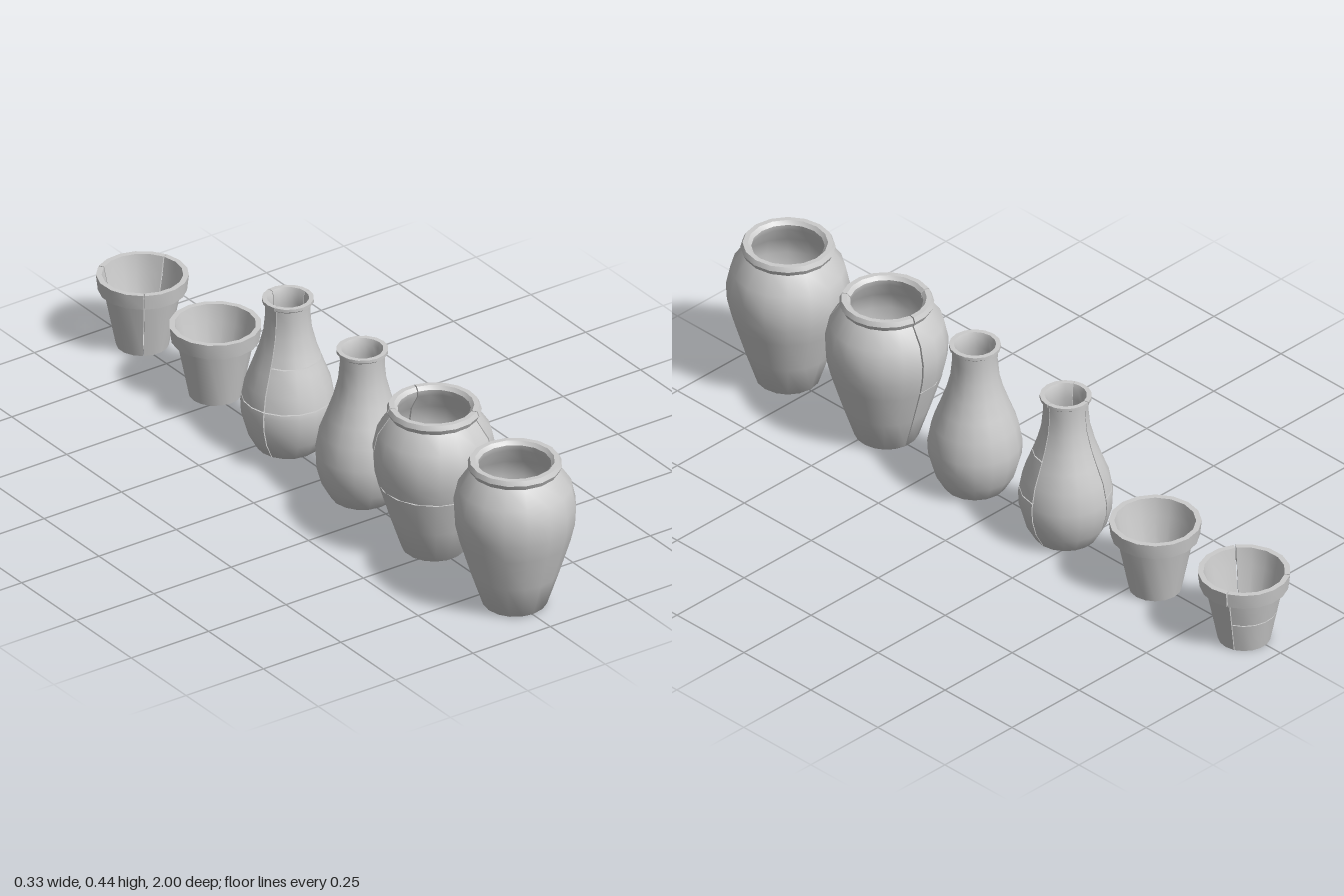
import * as THREE from 'three';
import { mergeGeometries, toCreasedNormals } from 'three/addons/utils/BufferGeometryUtils.js';

const SIDES = 16;
const GAP = 0.03; // crack width, radians
const SEAM = 0.0015; // half height of a horizontal crack
const rad = THREE.MathUtils.degToRad;
const smooth = new THREE.MeshStandardMaterial({ color: 0xcccccc });
const broken = new THREE.MeshStandardMaterial({ color: 0xcccccc, side: THREE.DoubleSide });

// Half sections [radius, height]: axis, outer wall, rim, inner wall, axis
const urn = [
  [0, 0], [0.08, 0], [0.086, 0.005], [0.118, 0.1], [0.149, 0.2], [0.161, 0.25], [0.164, 0.3], [0.152, 0.355],
  [0.119, 0.403], [0.126, 0.417], [0.12, 0.43], [0.106, 0.43], [0.097, 0.42], [0.1, 0.403],
  [0.136, 0.35], [0.148, 0.3], [0.145, 0.25], [0.133, 0.2], [0.102, 0.1], [0.074, 0.018], [0, 0.015],
];
const vase = [
  [0, 0], [0.078, 0], [0.084, 0.004], [0.11, 0.05], [0.124, 0.1], [0.126, 0.14], [0.115, 0.2], [0.096, 0.25],
  [0.078, 0.3], [0.065, 0.35], [0.06, 0.4], [0.061, 0.43], [0.069, 0.436], [0.069, 0.445],
  [0.056, 0.445], [0.05, 0.43], [0.049, 0.4], [0.054, 0.35], [0.067, 0.3], [0.084, 0.25],
  [0.103, 0.2], [0.114, 0.14], [0.112, 0.1], [0.098, 0.05], [0.072, 0.015], [0, 0.012],
];
const pot = [
  [0, 0], [0.07, 0], [0.103, 0.166], [0.118, 0.166], [0.123, 0.21],
  [0.108, 0.21], [0.098, 0.16], [0.062, 0.014], [0, 0.014],
];

// Keep the part of a section above (sign 1) or below (sign -1) a height
function clip(points, height, sign) {
  const out = [];
  points.forEach((p, i) => {
    const q = points[(i + 1) % points.length];
    const dp = (p[1] - height) * sign;
    const dq = (q[1] - height) * sign;
    if (dp >= 0) out.push(p);
    if (dp * dq < 0) {
      const t = dp / (dp - dq);
      out.push([p[0] + (q[0] - p[0]) * t, height]);
    }
  });
  return out;
}

const vectors = (points) => points.map(([r, y]) => new THREE.Vector2(r, y));

function wholeVessel(profile) {
  const geometry = new THREE.LatheGeometry(vectors(profile), SIDES);
  return new THREE.Mesh(toCreasedNormals(geometry, 0.8), smooth);
}

// A wedge of wall between two angles, closed along its broken edges
function shard(section, from, to) {
  const start = rad(from) + GAP / 2;
  const end = rad(to) - GAP / 2;
  const loop = section[0][0] === 0 ? section : [...section, section[0]];
  const steps = Math.ceil(((to - from) / 360) * SIDES);
  const wall = new THREE.LatheGeometry(vectors(loop), steps, start, end - start);
  const parts = [toCreasedNormals(wall, 0.8)];
  for (const angle of [start, end]) {
    const face = new THREE.ShapeGeometry(new THREE.Shape(vectors(section)));
    face.rotateY(angle - Math.PI / 2);
    parts.push(face.toNonIndexed());
  }
  return new THREE.Mesh(mergeGeometries(parts), broken);
}

// Each piece: [start angle, end angle, lower height, upper height]
function brokenVessel(profile, pieces) {
  const group = new THREE.Group();
  pieces.forEach(([from, to, low = 0, high = 1], i) => {
    let section = profile;
    if (low > 0) section = clip(section, low + SEAM, 1);
    if (high < 1) section = clip(section, high - SEAM, -1);
    const mesh = shard(section, from, to);
    mesh.name = `shard${i + 1}`;
    group.add(mesh);
  });
  return group;
}

export function createModel() {
  const model = new THREE.Group();
  model.name = 'potteryRow';
  const place = (object, name, x, z) => {
    object.name = name;
    object.position.set(x, 0, z);
    model.add(object);
  };

  // Wide urns
  place(wholeVessel(urn), 'urn', 0, 0.838);
  place(brokenVessel(urn, [
    [35, 171],
    [171, 395, 0, 0.205],
    [171, 246, 0.205, 1],
    [246, 395, 0.205, 1],
  ]), 'brokenUrn', 0, 0.47);

  // Narrow-necked vases
  place(wholeVessel(vase), 'vase', 0.006, 0.134);
  place(brokenVessel(vase, [
    [90, 194],
    [194, 294, 0, 0.155],
    [194, 294, 0.155, 1],
    [294, 450, 0, 0.155],
    [294, 450, 0.155, 0.272],
    [294, 450, 0.272, 1],
  ]), 'brokenVase', 0.006, -0.205);

  // Flower pots
  place(wholeVessel(pot), 'flowerPot', 0.012, -0.545);
  place(brokenVessel(pot, [
    [113, 215, 0, 0.09],
    [113, 215, 0.09, 1],
    [215, 327],
    [327, 473],
  ]), 'brokenFlowerPot', 0.012, -0.877);

  return model;
}
